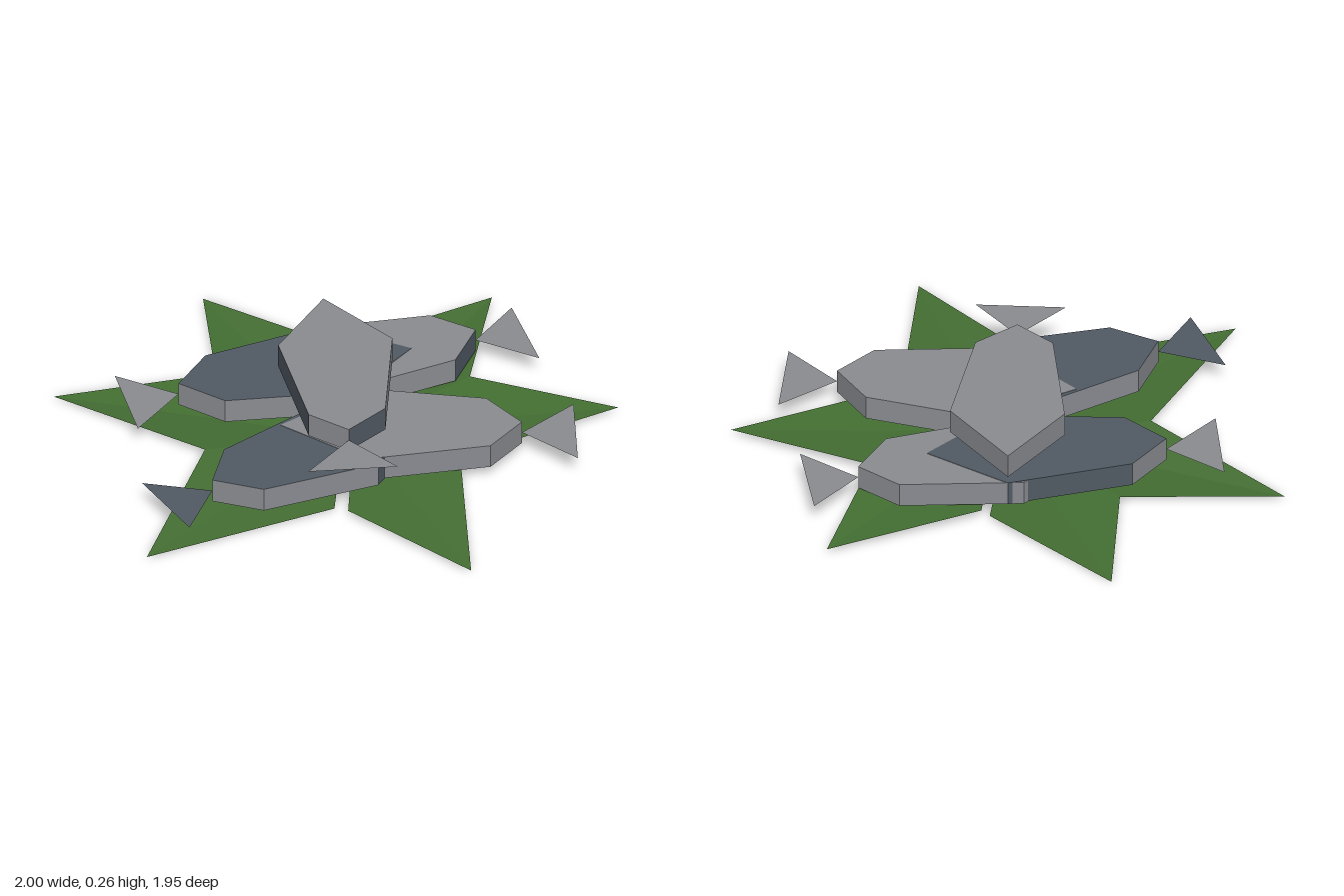
import * as THREE from 'three';

const grey = new THREE.MeshStandardMaterial({ color: 0x8a8c91, side: THREE.DoubleSide });
grey.name = 'fish grey';
const slate = new THREE.MeshStandardMaterial({ color: 0x515a64, side: THREE.DoubleSide });
slate.name = 'fish slate';
const green = new THREE.MeshStandardMaterial({ color: 0x446f33, side: THREE.DoubleSide });
green.name = 'leaf green';

// Mesh of flat-shaded triangles from a list of [x, y, z] corners
function facets(name, corners, material) {
  const geometry = new THREE.BufferGeometry();
  geometry.setAttribute('position', new THREE.Float32BufferAttribute(corners.flat(), 3));
  geometry.computeVertexNormals();
  const mesh = new THREE.Mesh(geometry, material);
  mesh.name = name;
  return mesh;
}

// Fish: a six-sided slab starting at the tail joint, plus a flat tail fin.
// outline and tail are [x, z] corners, counter-clockwise from above.
function fish({ name, y, outline, tail, top = grey, tailColor = grey, slateSides = [] }) {
  const group = new THREE.Group();
  group.name = name;
  const height = 0.095;
  const at = ([x, z], h) => [x, h, z];
  const parts = new Map([[grey, []], [slate, []]]);
  outline.forEach((a, i) => {
    const b = outline[(i + 1) % outline.length];
    const a0 = at(a, y), b0 = at(b, y), a1 = at(a, y + height), b1 = at(b, y + height);
    parts.get(slateSides.includes(i) ? slate : grey).push(a0, b0, b1, a0, b1, a1);
    if (i > 0 && i < outline.length - 1) {
      parts.get(top).push(at(outline[0], y + height), a1, b1);
      parts.get(grey).push(at(outline[0], y), b0, a0);
    }
  });
  for (const [material, corners] of parts) {
    if (corners.length) group.add(facets(material === grey ? 'greyBody' : 'slateBody', corners, material));
  }
  const fin = [outline[0], ...tail].map((p) => at(p, y + height / 2));
  group.add(facets('tailFin', fin, tailColor));
  return group;
}

// Leaf half: a folded sheet fanned out from its inner corner
function leaf(name, hub, rim) {
  const corners = [];
  for (let i = 0; i < rim.length - 1; i++) corners.push(hub, rim[i], rim[i + 1]);
  return facets(name, corners, green);
}

export function createModel() {
  const model = new THREE.Group();
  model.name = 'fishOnLeaves';

  // Two pointed leaves as the bed
  model.add(leaf('leftLeaf', [0.02, 0.022, 0], [
    [-0.13, 0.022, 0.5], [0.22, 0.012, 0.97], [0.35, 0.04, 0.29], [1, 0.022, 0.1],
    [0.51, 0.042, -0.2], [0.72, 0.022, -0.7], [0.13, 0.04, -0.53],
  ]));
  model.add(leaf('rightLeaf', [-0.02, 0, 0], [
    [0.1, 0.02, -0.54], [-0.31, 0.002, -0.98], [-0.39, 0.025, -0.47], [-1, 0.006, -0.5],
    [-0.55, 0.03, 0], [-0.92, 0.01, 0.59], [-0.17, 0.005, 0.45],
  ]));

  // Four fish below, overlapping at the noses, and one across the top
  const catches = [
    {
      name: 'backLeftFish', y: 0.046, slateSides: [5],
      outline: [[0.57, -0.35], [0.43, -0.48], [-0.03, -0.51], [-0.3, -0.29], [0, -0.09], [0.45, -0.18]],
      tail: [[0.77, -0.18], [0.75, -0.52]],
    },
    {
      name: 'backRightFish', y: 0.048, top: slate, slateSides: [4],
      outline: [[-0.58, -0.28], [-0.44, -0.13], [0.03, -0.07], [0.31, -0.29], [0.03, -0.51], [-0.44, -0.43]],
      tail: [[-0.78, -0.45], [-0.78, -0.1]],
    },
    {
      name: 'frontRightFish', y: 0.046, top: slate, tailColor: slate, slateSides: [2],
      outline: [[-0.61, 0.35], [-0.44, 0.455], [0.01, 0.4], [0.26, 0.13], [-0.1, -0.03], [-0.52, 0.17]],
      tail: [[-0.85, 0.24], [-0.75, 0.56]],
    },
    {
      name: 'frontLeftFish', y: 0.048,
      outline: [[0.59, 0.27], [0.5, 0.09], [0.08, -0.08], [-0.28, 0.07], [-0.03, 0.36], [0.44, 0.39]],
      tail: [[0.75, 0.48], [0.82, 0.14]],
    },
    {
      name: 'topFish', y: 0.17, slateSides: [0, 4],
      outline: [[-0.085, 0.33], [0.08, 0.23], [0.215, -0.2], [0.03, -0.51], [-0.205, -0.26], [-0.205, 0.2]],
      tail: [[-0.28, 0.49], [0.05, 0.54]],
    },
  ];
  for (const spec of catches) model.add(fish(spec));
  return model;
}
